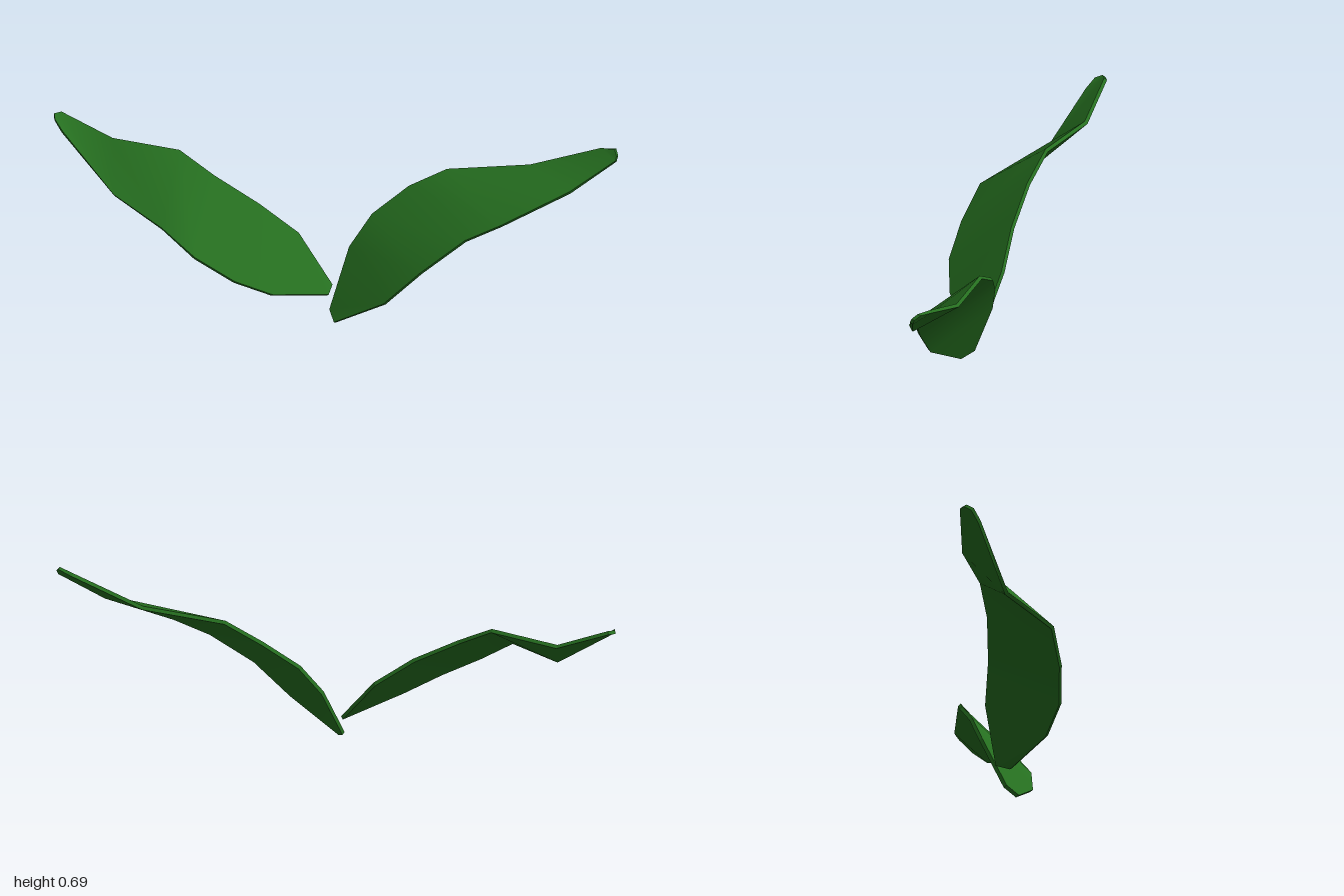
import * as THREE from 'three';
import { mergeGeometries } from 'three/addons/utils/BufferGeometryUtils.js';

const THICKNESS = 0.014;

// Ruled surface between two rows of points, faces turned toward along x (q - p)
function strip(p, q, flat) {
  let g = new THREE.BufferGeometry().setFromPoints([...p, ...q]);
  const n = p.length, index = [];
  for (let i = 0; i < n - 1; i++) {
    index.push(i, i + 1, n + i, i + 1, n + i + 1, n + i);
  }
  g.setIndex(index);
  if (flat) g = g.toNonIndexed();
  g.computeVertexNormals();
  return flat ? g : g.toNonIndexed();
}

// Thin leaf blade lofted between its upper and lower edge; side is +1 or -1 in x
function leafGeometry(upperEdge, lowerEdge, side) {
  const upper = upperEdge.map(p => new THREE.Vector3(...p));
  const lower = lowerEdge.map(p => new THREE.Vector3(...p));
  const last = upper.length - 1;
  const mid = upper.map((u, i) => u.clone().add(lower[i]).multiplyScalar(0.5));
  const offset = upper.map((u, i) => {
    const along = mid[Math.min(i + 1, last)].clone().sub(mid[Math.max(i - 1, 0)]);
    return along.cross(u.clone().sub(lower[i])).normalize().multiplyScalar(side * THICKNESS);
  });
  const upperBottom = upper.map((u, i) => u.clone().sub(offset[i]));
  const lowerTop = lower.map((l, i) => l.clone().add(offset[i]));

  // Counterclockwise rows as seen from above
  const [topA, topB] = side > 0 ? [lowerTop, upper] : [upper, lowerTop];
  const [botA, botB] = side > 0 ? [lower, upperBottom] : [upperBottom, lower];
  const loop = (a, b) => [...a, ...[...b].reverse(), a[0]];
  return mergeGeometries([
    strip(topA, topB, false),
    strip(botB, botA, false),
    strip(loop(botA, botB), loop(topA, topB), true),
  ]);
}

export function createModel() {
  const group = new THREE.Group();
  group.name = 'leafPair';
  const material = new THREE.MeshStandardMaterial({ color: 0x267020 });

  // Edges run from stem to tip
  const leaves = {
    leftLeaf: {
      side: 1,
      upper: [[-0.04, 0.035, 0.12], [0.04, 0.25, 0.05], [0.125, 0.37, 0.035], [0.26, 0.475, 0.035],
        [0.395, 0.55, 0.067], [0.69, 0.583, 0.133], [0.94, 0.678, 0.222], [0.985, 0.685, 0.257]],
      lower: [[-0.02, 0, 0.16], [0.15, 0.11, 0.26], [0.28, 0.24, 0.29], [0.44, 0.36, 0.292],
        [0.57, 0.42, 0.305], [0.82, 0.53, 0.285], [0.99, 0.645, 0.275], [0.997, 0.665, 0.268]],
    },
    rightLeaf: {
      side: -1,
      upper: [[-0.025, 0.12, 0.09], [-0.14, 0.3, 0.02], [-0.28, 0.41, -0.007], [-0.44, 0.51, -0.055],
        [-0.56, 0.59, -0.115], [-0.79, 0.59, -0.243], [-0.97, 0.677, -0.303], [-0.997, 0.675, -0.295]],
      lower: [[-0.05, 0.095, 0.13], [-0.26, 0.14, 0.205], [-0.4, 0.205, 0.217], [-0.54, 0.29, 0.18],
        [-0.65, 0.385, 0.12], [-0.8, 0.428, -0.095], [-0.975, 0.62, -0.245], [-0.998, 0.655, -0.278]],
    },
  };

  for (const [name, { side, upper, lower }] of Object.entries(leaves)) {
    const leaf = new THREE.Mesh(leafGeometry(upper, lower, side), material);
    leaf.name = name;
    group.add(leaf);
  }
  return group;
}
